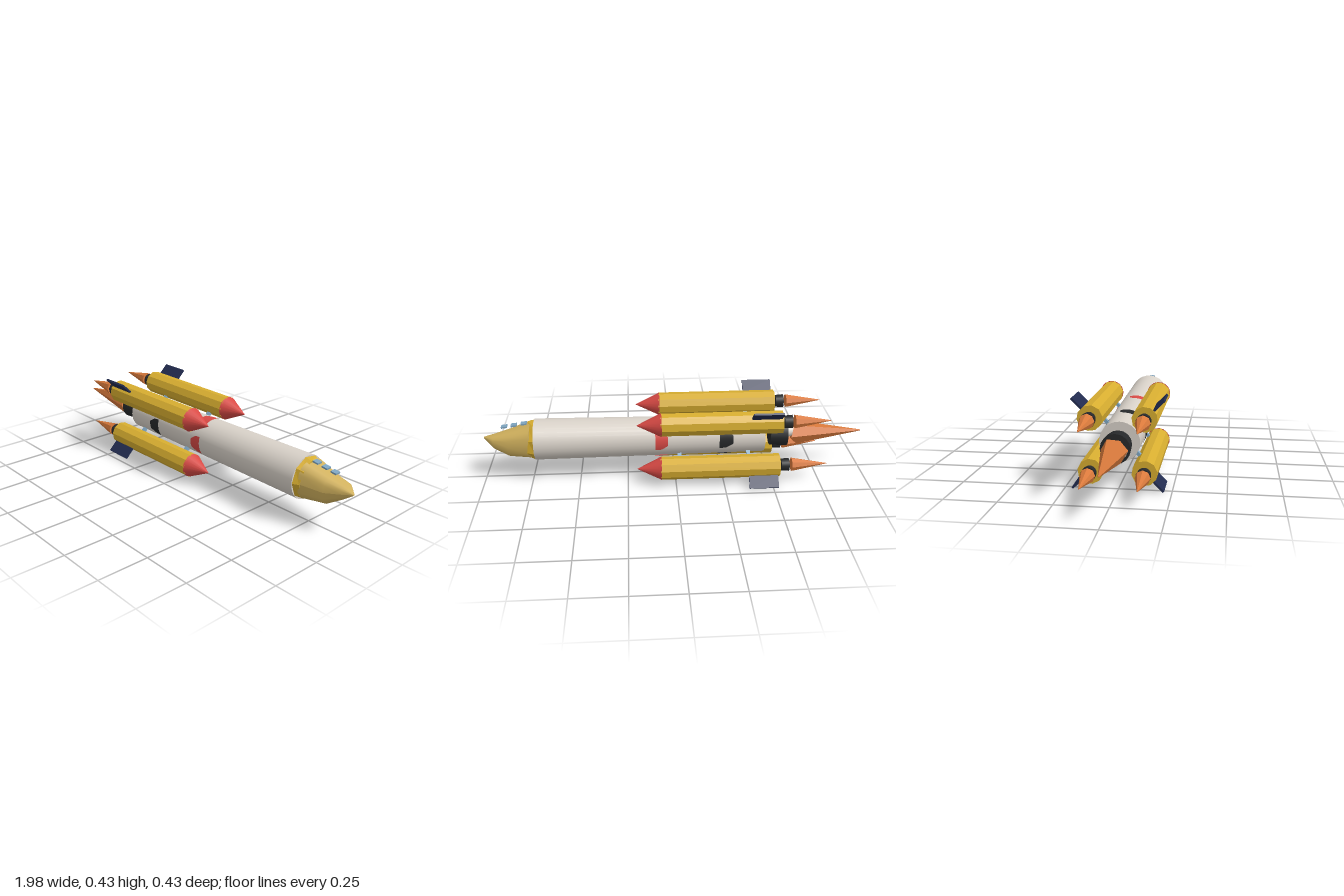
import * as THREE from 'three';

const CY = 0.217; // height of the rocket's long axis

const mat = (name, color, extra = {}) => {
  const m = new THREE.MeshStandardMaterial({ color, ...extra });
  m.name = name;
  return m;
};

export function createModel() {
  const flat = { flatShading: true };
  const M = {
    white: mat('hull white', 0xd9d2c9),
    yellow: mat('booster yellow', 0xd8ae30, flat),
    gold: mat('nose gold', 0xd2b25e),
    red: mat('red', 0xd94a45, { side: THREE.DoubleSide }),
    black: mat('black', 0x27292b, { side: THREE.DoubleSide }),
    navy: mat('fin navy', 0x222c50),
    orange: mat('flame orange', 0xda7a3c, flat),
    blue: mat('window blue', 0x7fa6c2),
  };
  const model = new THREE.Group();
  model.name = 'rocket';

  const add = (parent, name, geo, material, x = 0, y = 0, z = 0) => {
    const mesh = new THREE.Mesh(geo, material);
    mesh.name = name;
    mesh.position.set(x, y, z);
    parent.add(mesh);
    return mesh;
  };
  // Round part lying along x, from x0 (radius r0) to x1 (radius r1)
  const tube = (x0, x1, r0, r1, sides) =>
    new THREE.CylinderGeometry(r1, r0, x1 - x0, sides).rotateZ(-Math.PI / 2).translate((x0 + x1) / 2, 0, 0);

  const core = new THREE.Group();
  core.name = 'core';
  core.position.y = CY;
  model.add(core);

  // Main hull, slightly wider towards the nose
  const hullRadius = x => 0.096 + (x + 0.465) * 0.0095;
  add(core, 'hull', tube(-0.465, 0.725, hullRadius(-0.465), hullRadius(0.725), 32), M.white);

  // Faceted collar with an uneven rim
  const collar = tube(0.72, 0.755, 0.107, 0.094, 9);
  const cp = collar.attributes.position;
  for (let i = 0; i < cp.count; i++) {
    const a = Math.atan2(cp.getZ(i), cp.getY(i));
    const k = 1 + 0.04 * Math.sin(3 * a + 0.6);
    if (cp.getX(i) > 0.74) cp.setXYZ(i, cp.getX(i) + 0.008 * Math.sin(2 * a), cp.getY(i) * k, cp.getZ(i) * k);
  }
  add(core, 'collar', collar, M.yellow);

  // Nose: squarish cross-sections [x, yCentre, yHalf, zCentre, zHalf]
  const sections = [
    [0.745, 0.002, 0.092, 0, 0.09],
    [0.86, -0.012, 0.068, -0.006, 0.06],
    [0.935, 0.001, 0.034, -0.01, 0.042],
    [0.99, 0.012, 0.004, 0.01, 0.005],
  ];
  const nose = new THREE.CylinderGeometry(1, 1, 1, 16, 3).rotateZ(-Math.PI / 2);
  const np = nose.attributes.position;
  const square = v => Math.sign(v) * Math.pow(Math.abs(v), 0.75);
  for (let i = 0; i < np.count; i++) {
    const [x, yc, yh, zc, zh] = sections[Math.round((np.getX(i) + 0.5) * 3)];
    np.setXYZ(i, x, yc + yh * square(np.getY(i)), zc + zh * square(np.getZ(i)));
  }
  nose.computeVertexNormals();
  add(core, 'nose', nose, M.gold);

  // Row of small windows above the nose
  [[0.777, 0.31], [0.828, 0.302], [0.878, 0.295]].forEach(([x, y]) => {
    add(model, 'window', new THREE.BoxGeometry(0.03, 0.008, 0.03), M.blue, x, y, 0).rotation.z = -0.12;
  });

  // Tapered painted patches wrapped on the hull, between the boosters
  const patch = (x0, x1, turn) => {
    const geo = new THREE.PlaneGeometry(1, 1, 4, 10);
    const p = geo.attributes.position;
    for (let i = 0; i < p.count; i++) {
      const u = p.getX(i) + 0.5;
      const x = x0 + (x1 - x0) * u;
      const a = turn - 0.16 + p.getY(i) * (0.45 + 0.5 * Math.min(1, u * 1.8));
      const r = hullRadius(x) + 0.003;
      p.setXYZ(i, x, r * Math.sin(a), r * Math.cos(a));
    }
    geo.computeVertexNormals();
    return geo;
  };
  for (let i = 0; i < 4; i++) {
    add(core, 'redMarking', patch(0.04, 0.105, i * Math.PI / 2), M.red);
    add(core, 'blackMarking', patch(-0.297, -0.226, i * Math.PI / 2), M.black);
  }

  // Main engine and its flame
  add(core, 'mainNozzle', tube(-0.59, -0.5, 0.07, 0.064, 16), M.black);
  const flame = tube(-0.99, -0.605, 0.003, 0.062, 6);
  const fp = flame.attributes.position;
  for (let i = 0; i < fp.count; i++) {
    const a = Math.atan2(fp.getZ(i), fp.getY(i));
    if (fp.getX(i) > -0.7) fp.setX(i, fp.getX(i) - 0.04 * (0.5 + 0.5 * Math.sin(2 * a + 1)));
  }
  add(core, 'mainFlame', flame, M.orange);
  add(core, 'flameCore', tube(-0.72, -0.602, 0.002, 0.032, 8), M.white, 0, -0.008, 0.026);

  // Four boosters on the diagonals; each is built pointing up, then turned about the axis
  for (let i = 0; i < 4; i++) {
    const arm = new THREE.Group();
    arm.name = 'boosterArm';
    arm.rotation.x = Math.PI / 4 + i * Math.PI / 2;
    core.add(arm);
    const booster = new THREE.Group();
    booster.name = 'booster';
    booster.position.y = 0.177;
    arm.add(booster);

    add(booster, 'boosterBody', tube(-0.537, 0.08, 0.06, 0.06, 10), M.yellow);
    add(booster, 'boosterNose', tube(0.075, 0.2, 0.061, 0.001, 18), M.red);
    add(booster, 'boosterNozzle', tube(-0.588, -0.547, 0.035, 0.032, 12), M.black);
    add(booster, 'boosterFlame', tube(-0.79, -0.602, 0.001, 0.036, 8), M.orange);
    add(booster, 'fin', new THREE.BoxGeometry(0.152, 0.07, 0.01), M.navy, -0.452, 0.088, 0);
    // Struts joining booster and hull
    [-0.38, -0.02].forEach(x => {
      add(arm, 'strut', new THREE.BoxGeometry(0.02, 0.04, 0.016), M.blue, x, 0.108, 0);
    });
  }
  return model;
}
